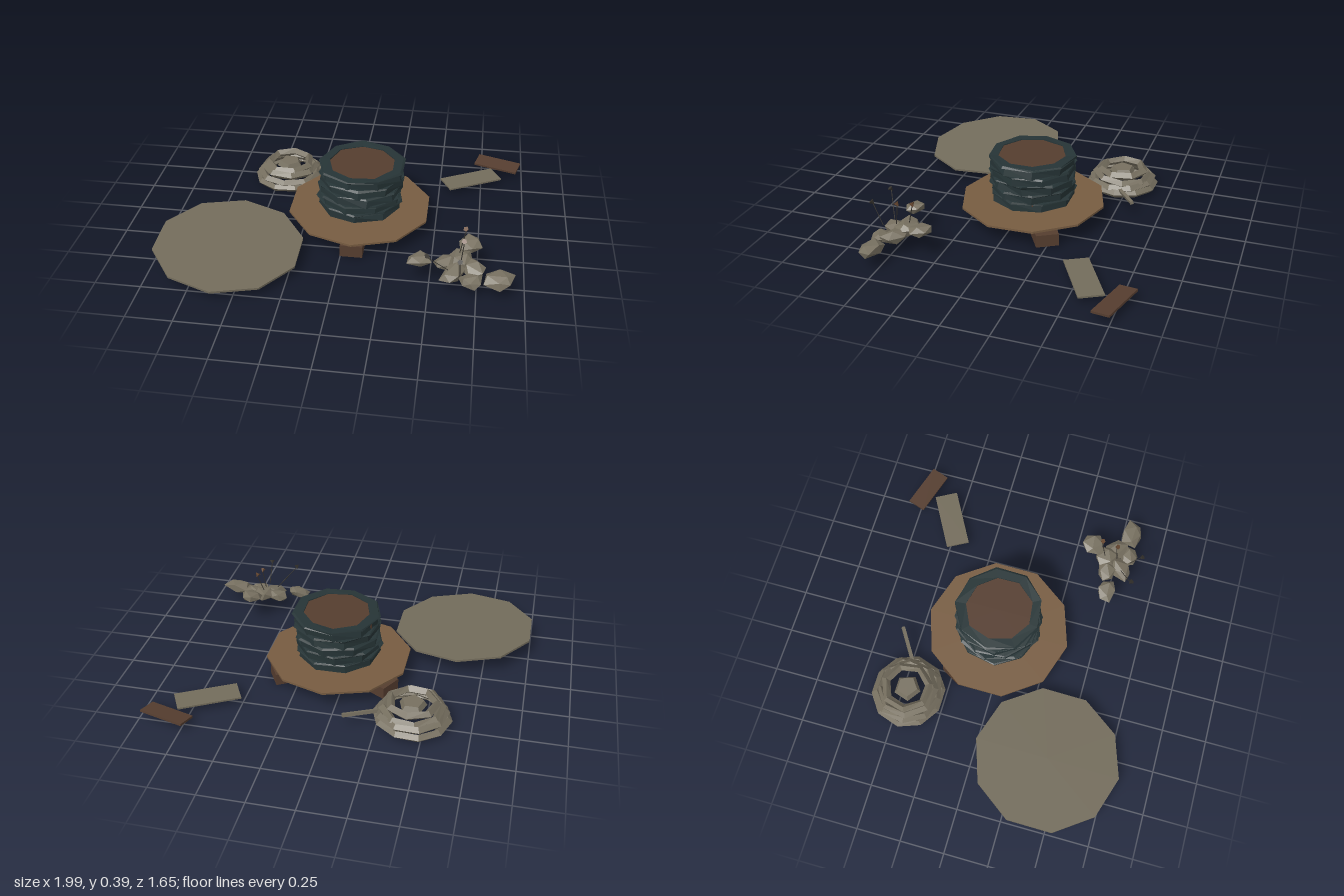
import * as THREE from 'three';

const V = (x, y, z) => new THREE.Vector3(x, y, z);

function material(name, color) {
  const m = new THREE.MeshStandardMaterial({ color });
  m.name = name;
  return m;
}

// Faceted copy of a geometry, with vertices nudged by a repeatable rule
function faceted(geo, amount = 0, seed = 0) {
  const g = geo.index ? geo.toNonIndexed() : geo;
  const p = g.attributes.position;
  const noise = (a, b, c) => {
    const s = Math.sin(a * 127.1 + b * 311.7 + c * 74.7 + seed * 19.3) * 437.5;
    return (s - Math.floor(s) - 0.5) * 2 * amount;
  };
  for (let i = 0; i < p.count; i++) {
    const [x, y, z] = [p.getX(i), p.getY(i), p.getZ(i)];
    const [a, b, c] = [x, y, z].map((v) => Math.round(v * 1000) / 1000 + 0);
    p.setXYZ(i, x + noise(a, b, c), y + noise(b, c, a) * 0.6, z + noise(c, a, b));
  }
  g.computeVertexNormals();
  return g;
}

export function createModel() {
  const model = new THREE.Group();
  const tan = material('tan wood', 0x775c41);
  const brown = material('dark wood', 0x553d2f);
  const grey = material('weathered wood', 0x736c5b);
  const teal = material('dark wrapping', 0x263436);
  const stone = material('stone', 0x777060);
  const stemMat = material('dark stem', 0x35322d);
  const rust = material('rust', 0x6b4a32);

  const add = (name, geo, mat, x, y, z, parent = model) => {
    const mesh = new THREE.Mesh(geo, mat);
    mesh.name = name;
    mesh.position.set(x, y, z);
    parent.add(mesh);
    return mesh;
  };

  // Round platform and separate leaning disc
  const disc = faceted(new THREE.CylinderGeometry(0.412, 0.412, 0.012, 10));
  add('platform', disc, tan, 0.06, 0.098, -0.06).rotation.x = 0.02;
  add('looseDisc', disc, grey, -0.605, 0.078, 0.41).rotation.set(0.05, 0, -0.05);

  // Three radial feet
  for (let i = 0; i < 3; i++) {
    const a = (i * Math.PI * 2) / 3;
    add('foot', new THREE.BoxGeometry(0.125, 0.07, 0.188), brown,
      0.06 + Math.sin(a) * 0.295, 0.035, -0.06 + Math.cos(a) * 0.295).rotation.y = a;
  }

  // Wrapped drum: wooden core inside twisted bands
  const drum = new THREE.Group();
  drum.name = 'drum';
  drum.position.set(0.06, 0.12, -0.06);
  model.add(drum);
  add('core', faceted(new THREE.CylinderGeometry(0.215, 0.215, 0.257, 10)), brown, 0.005, 0.13, 0, drum);
  const profile = [[0.19, 0], [0.236, 0], [0.234, 0.042], [0.249, 0.05], [0.242, 0.058], [0.19, 0.057], [0.19, 0]]
    .map(([r, y]) => new THREE.Vector2(r, y));
  for (let i = 0; i < 5; i++) {
    const band = faceted(new THREE.LatheGeometry(profile, 9), 0.006, i);
    add('wrapBand', band, teal, i * 0.003, i * 0.0515, 0, drum).rotation.y = i * 0.47;
  }

  // Coil of stacked rings with a loose tail
  const coil = new THREE.Group();
  coil.name = 'coil';
  coil.position.set(-0.43, 0, -0.46);
  model.add(coil);
  [[0.19, 0.035], [0.175, 0.065], [0.155, 0.093], [0.128, 0.119]].forEach(([r, y], i) => {
    const ring = new THREE.TorusGeometry(r, 0.024, 4, 10 - i).rotateX(Math.PI / 2);
    const mesh = add('coilRing', faceted(ring, 0.003, i), stone, 0, y, 0, coil);
    mesh.rotation.set(0.04 * Math.sin(i * 2), i * 0.5, 0.04 * Math.cos(i * 2));
  });
  add('coilCentre', faceted(new THREE.CylinderGeometry(0.06, 0.078, 0.03, 5)), stone, 0, 0.115, 0, coil);

  // Thin rod between two points
  const rod = (name, a, b, r, mat, sides) => {
    const dir = b.clone().sub(a);
    const mid = a.clone().add(b).multiplyScalar(0.5);
    const m = add(name, faceted(new THREE.CylinderGeometry(r, r, dir.length(), sides)), mat, mid.x, mid.y, mid.z);
    m.quaternion.setFromUnitVectors(V(0, 1, 0), dir.normalize());
  };
  rod('coilTail', V(-0.27, 0.06, -0.48), V(-0.08, 0.085, -0.6), 0.013, stone, 4);

  // Loose boards
  add('greyBoard', new THREE.BoxGeometry(0.347, 0.01, 0.135), grey, 0.688, 0.039, -0.537).rotation.y = 0.5;
  add('brownBoard', new THREE.BoxGeometry(0.268, 0.012, 0.104), brown, 0.847, 0.045, -0.737)
    .rotation.set(0.14, -0.29, 0.02);

  // Rock pile: position, half sizes, turn
  [
    [0.44, 0.135, 0.485, 0.072, 0.032, 0.055, 0.2],
    [0.86, 0.092, 0.55, 0.09, 0.04, 0.068, -0.2],
    [0.705, 0.158, 0.34, 0.068, 0.034, 0.07, 0.5],
    [0.575, 0.11, 0.46, 0.065, 0.036, 0.055, 1.1],
    [0.66, 0.125, 0.44, 0.075, 0.045, 0.085, 0.8],
    [0.72, 0.105, 0.48, 0.06, 0.04, 0.085, 1.7],
    [0.62, 0.095, 0.53, 0.085, 0.04, 0.055, 2.3],
    [0.72, 0.085, 0.57, 0.065, 0.032, 0.055, 0.4],
  ].forEach(([x, y, z, sx, sy, sz, turn], i) => {
    const rock = faceted(new THREE.IcosahedronGeometry(1, 0), 0.16, i + 1).scale(sx, sy, sz);
    rock.computeVertexNormals();
    add('rock', rock, stone, x, y, z).rotation.set(0.15, turn * 0.4, 0.1);
  });

  // Sprigs with small cone heads
  [
    [V(0.6, 0.12, 0.54), V(0.485, 0.242, 0.61), stemMat],
    [V(0.66, 0.12, 0.58), V(0.655, 0.242, 0.635), stemMat],
    [V(0.66, 0.14, 0.5), V(0.672, 0.265, 0.482), rust],
    [V(0.65, 0.15, 0.43), V(0.678, 0.28, 0.392), rust],
  ].forEach(([a, b, mat], i) => {
    rod('stem', a, b, 0.0025, stemMat, 4);
    const head = add('sprigHead', faceted(new THREE.ConeGeometry(0.015, 0.026, 5)), mat, b.x, b.y, b.z);
    head.rotation.set(Math.PI + 0.5, i, 0.3);
  });

  return model;
}
